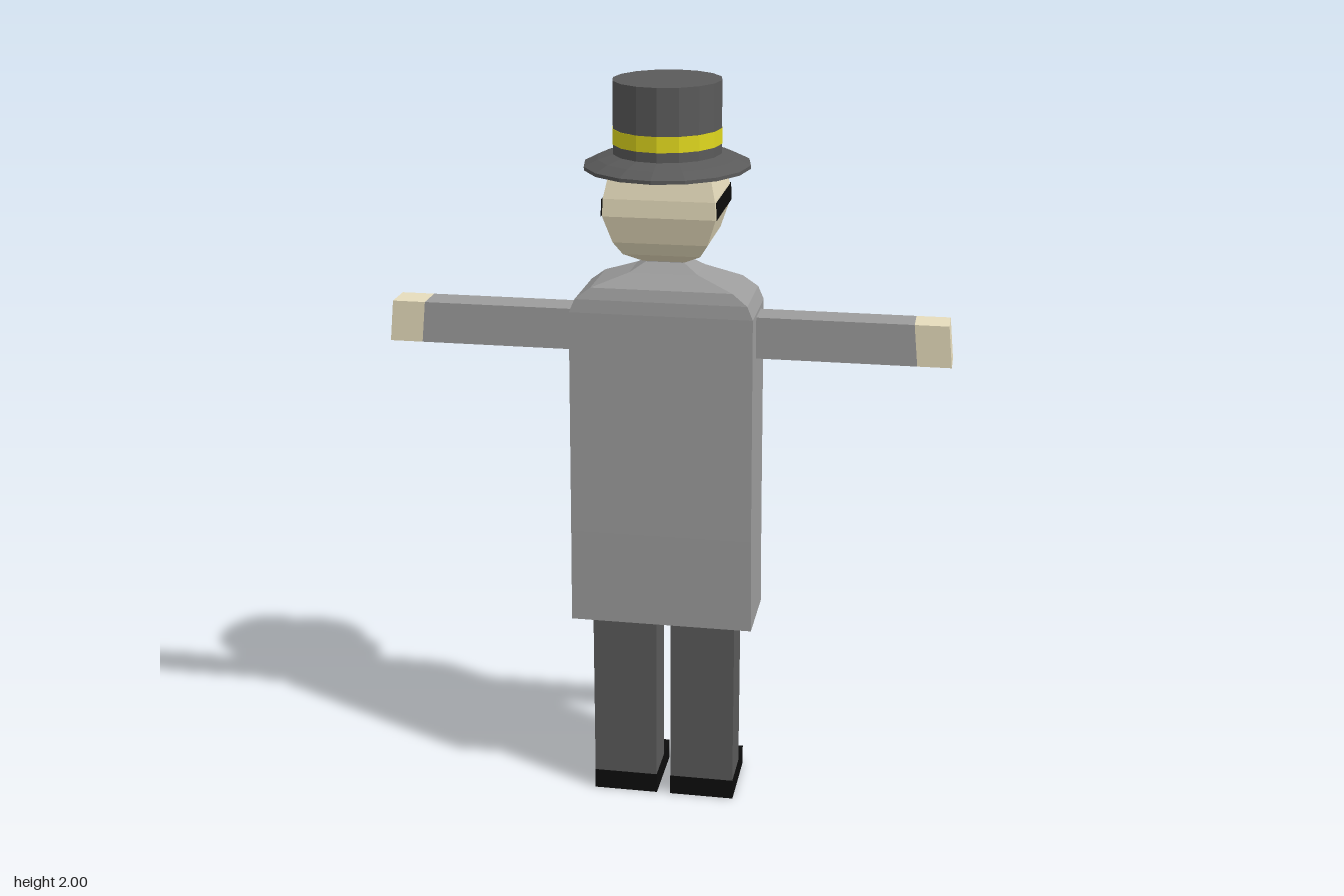
import * as THREE from 'three';

const mat = (name, color) => {
  const m = new THREE.MeshStandardMaterial({ color, flatShading: true, side: THREE.DoubleSide });
  m.name = name;
  return m;
};

// Flat geometry from quads of four corner points
function quads(list) {
  const pos = [];
  for (const [a, b, c, d] of list) pos.push(...a, ...b, ...c, ...a, ...c, ...d);
  const g = new THREE.BufferGeometry();
  g.setAttribute('position', new THREE.Float32BufferAttribute(pos, 3));
  g.computeVertexNormals();
  return g;
}

// Rectangular rings [y, halfX, halfZ] from bottom to top; sides: 0 = +z, 1 = +x, 2 = -z, 3 = -x
function loft(rings, sides = [0, 1, 2, 3], caps = true) {
  const corners = rings.map(([y, x, z]) => [[-x, y, z], [x, y, z], [x, y, -z], [-x, y, -z]]);
  const list = [];
  for (let i = 0; i + 1 < corners.length; i++) {
    const lo = corners[i], hi = corners[i + 1];
    for (const s of sides) {
      const n = (s + 1) % 4;
      list.push([lo[s], lo[n], hi[n], hi[s]]);
    }
  }
  if (caps) {
    list.push([...corners[0]].reverse(), corners[corners.length - 1]);
  }
  return quads(list);
}

function box(x0, x1, y0, y1, z0, z1) {
  return new THREE.BoxGeometry(x1 - x0, y1 - y0, z1 - z0)
    .translate((x0 + x1) / 2, (y0 + y1) / 2, (z0 + z1) / 2);
}

// Oval turned part for the hat
function oval(profile) {
  const g = new THREE.LatheGeometry(profile.map(([r, y]) => new THREE.Vector2(r, y)), 16);
  g.scale(1, 1, 1.11);
  const flat = g.toNonIndexed();
  flat.computeVertexNormals();
  return flat;
}

export function createModel() {
  const model = new THREE.Group();
  model.name = 'manInTopHat';
  const coat = mat('coatGrey', 0x9c9c9c);
  const dark = mat('darkGrey', 0x5a5a5a);
  const skin = mat('skin', 0xe6dcbc);
  const black = mat('black', 0x0c0c0c);
  const yellow = mat('bandYellow', 0xe0d81e);
  const shirt = mat('shirtLight', 0xdcdcdc);
  const add = (name, geometry, material) => {
    const mesh = new THREE.Mesh(geometry, material);
    mesh.name = name;
    model.add(mesh);
  };

  // Coat with sloping shoulders, and collar
  add('coat', loft([
    [0.54, 0.247, 0.105], [0.8, 0.244, 0.109], [1.41, 0.24, 0.11], [1.445, 0.225, 0.107],
    [1.475, 0.185, 0.098], [1.51, 0.09, 0.06], [1.535, 0.05, 0.035],
  ]), coat);
  add('neck', loft([[1.5, 0.047, 0.035], [1.56, 0.047, 0.035]]), coat);

  // Shirt front showing between the lapels
  const strip = [[1.525, 0.04, 0.044], [1.51, 0.05, 0.064], [1.475, 0.055, 0.102],
    [1.41, 0.05, 0.114], [1.0, 0.022, 0.113]];
  add('shirtFront', loft([...strip].reverse(), [2], false), shirt);

  // Coat tails folding slightly outward below the opening
  const fold = [-1, 1].map((s) => [
    [0, 1.0, -0.113], [0, 0.56, -0.108], [s * 0.035, 0.56, -0.114], [s * 0.02, 1.0, -0.113],
  ]);
  const flare = [-1, 1].map((s) => [
    [s * 0.02, 1.0, -0.113], [s * 0.035, 0.56, -0.114], [s * 0.07, 0.55, -0.105], [s * 0.025, 1.0, -0.11],
  ]);
  // Reverse one side so that both face outward
  fold[0].reverse();
  flare[0].reverse();
  add('coatOpening', quads([...fold, ...flare]), coat);

  // Head
  add('head', loft([
    [1.54, 0.055, 0.05], [1.565, 0.1, 0.09], [1.6, 0.122, 0.112], [1.67, 0.145, 0.13],
    [1.715, 0.143, 0.129], [1.765, 0.132, 0.119], [1.785, 0.12, 0.108],
  ]), skin);

  // Dark glasses wrapping the face and both sides
  add('glassesBand', loft([[1.67, 0.148, 0.133], [1.715, 0.146, 0.132]], [1, 2, 3], false), black);
  const lenses = [];
  for (const s of [-1, 1]) {
    const lens = [[s * 0.045, 1.67, -0.133], [s * 0.125, 1.67, -0.133],
      [s * 0.115, 1.62, -0.122], [s * 0.055, 1.62, -0.122]];
    const bridge = [[s * 0.022, 1.67, -0.133], [s * 0.046, 1.67, -0.133],
      [s * 0.046, 1.652, -0.129], [s * 0.022, 1.652, -0.129]];
    for (const q of [lens, bridge]) lenses.push(s < 0 ? q.reverse() : q);
  }
  add('glassesLenses', quads(lenses), black);

  // Top hat
  add('hatBrim', oval([[0, 1.776], [0.215, 1.778], [0.215, 1.787], [0.18, 1.803], [0.14, 1.815], [0.14, 1.84]]), dark);
  add('hatBand', oval([[0.141, 1.84], [0.141, 1.88]]), yellow);
  add('hatCrown', oval([[0.14, 1.88], [0.14, 2.0], [0, 2.0]]), dark);

  for (const [s, side] of [[1, 'left'], [-1, 'right']]) {
    const span = (a, b) => (s > 0 ? [a, b] : [-b, -a]);
    // Arms and hands, ends leaning out toward the bottom
    const limb = (a, b) => {
      const g = box(...span(a, b), 1.29, 1.4, -0.046, 0.042);
      const p = g.attributes.position;
      for (let i = 0; i < p.count; i++) p.setX(i, p.getX(i) + s * (1.345 - p.getY(i)) * 0.1);
      return g;
    };
    add(side + 'Arm', limb(0.2, 0.652), coat);
    add(side + 'Hand', limb(0.652, 0.74), skin);
    // Legs and shoes
    add(side + 'Leg', box(...span(0.02, 0.196), 0.055, 0.57, -0.06, 0.063), dark);
    add(side + 'Shoe', box(...span(0.019, 0.197), 0, 0.056, -0.146, 0.064), black);
  }
  return model;
}
